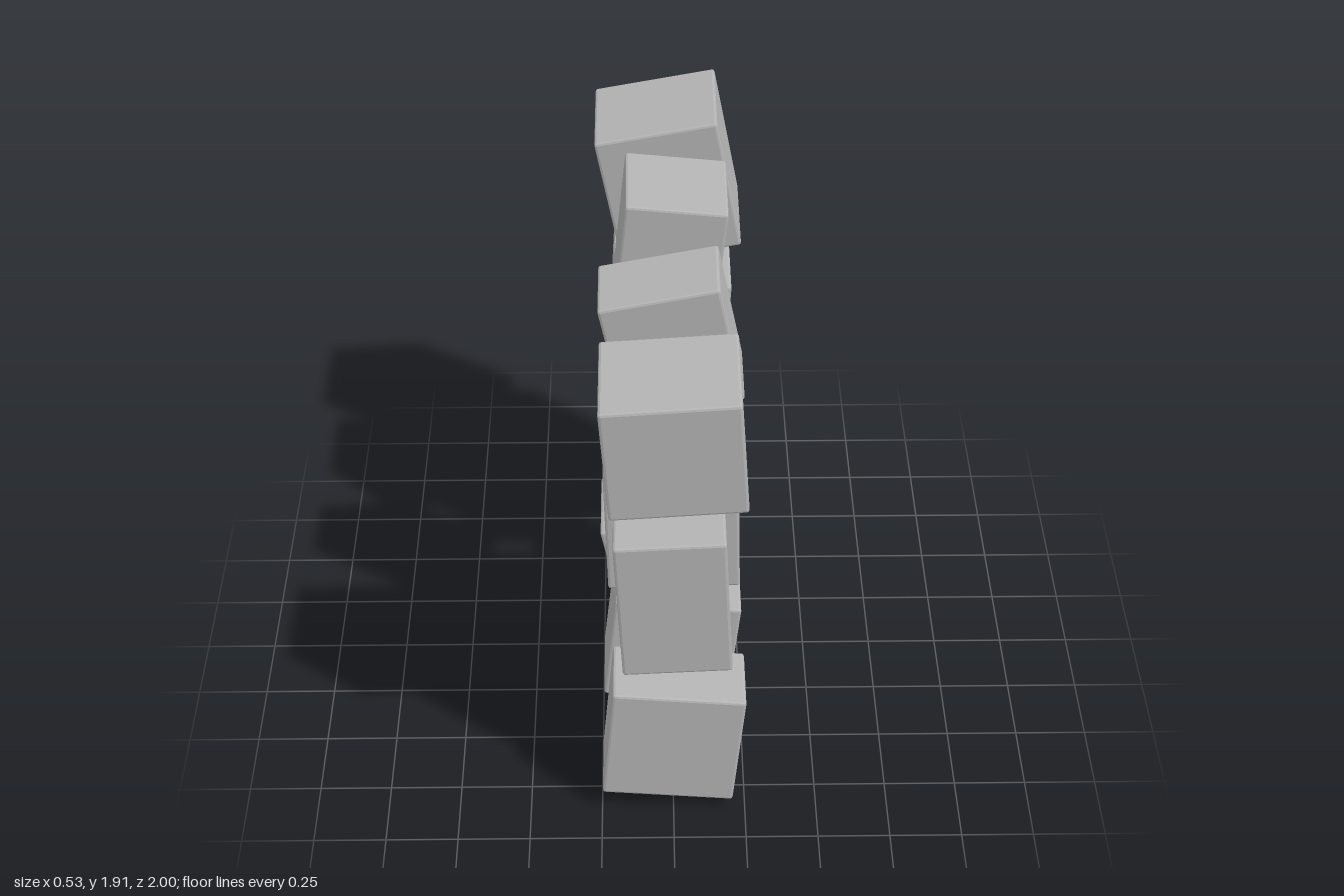
import * as THREE from 'three';
import { RoundedBoxGeometry } from 'three/addons/geometries/RoundedBoxGeometry.js';

export function createModel() {
  const model = new THREE.Group();
  model.name = 'stoneBlocks';
  const stone = new THREE.MeshStandardMaterial({ color: 0xb4b4b4, flatShading: true });
  stone.name = 'stoneGrey';

  // Back plane of each column, from front to back
  const columnBack = [0.61, 0.075, -0.46, -1];

  // Per block: width, height, front z, centre y, tilt about z
  const rows = {
    lower: [
      [0.456, 0.463, 0.867, 0.31, -0.09],
      [0.45, 0.447, 0.388, 0.318, -0.105],
      [0.457, 0.392, -0.125, 0.302, 0.193],
      [0.433, 0.486, -0.7, 0.291, -0.19],
    ],
    middle: [
      [0.37, 0.552, 0.858, 0.931, 0.05],
      [0.458, 0.515, 0.467, 0.955, 0.024],
      [0.368, 0.408, -0.22, 0.938, -0.167],
      [0.435, 0.515, -0.582, 0.996, -0.056],
    ],
    upper: [
      [0.442, 0.416, 1, 1.657, 0.068],
      [0.408, 0.449, 0.35, 1.6, 0.198],
      [0.352, 0.447, -0.1, 1.656, -0.103],
      [0.442, 0.515, -0.597, 1.63, 0.185],
    ],
  };

  // Blocks with slightly bevelled edges, each tilted about its own centre
  for (const [rowName, blocks] of Object.entries(rows)) {
    const row = new THREE.Group();
    row.name = rowName + 'Row';
    blocks.forEach(([width, height, front, y, tilt], i) => {
      const depth = front - columnBack[i];
      const block = new THREE.Mesh(new RoundedBoxGeometry(width, height, depth, 1, 0.009), stone);
      block.name = `${rowName}Block${i + 1}`;
      block.position.set(0, y, columnBack[i] + depth / 2);
      block.rotation.z = tilt;
      row.add(block);
    });
    model.add(row);
  }
  return model;
}
